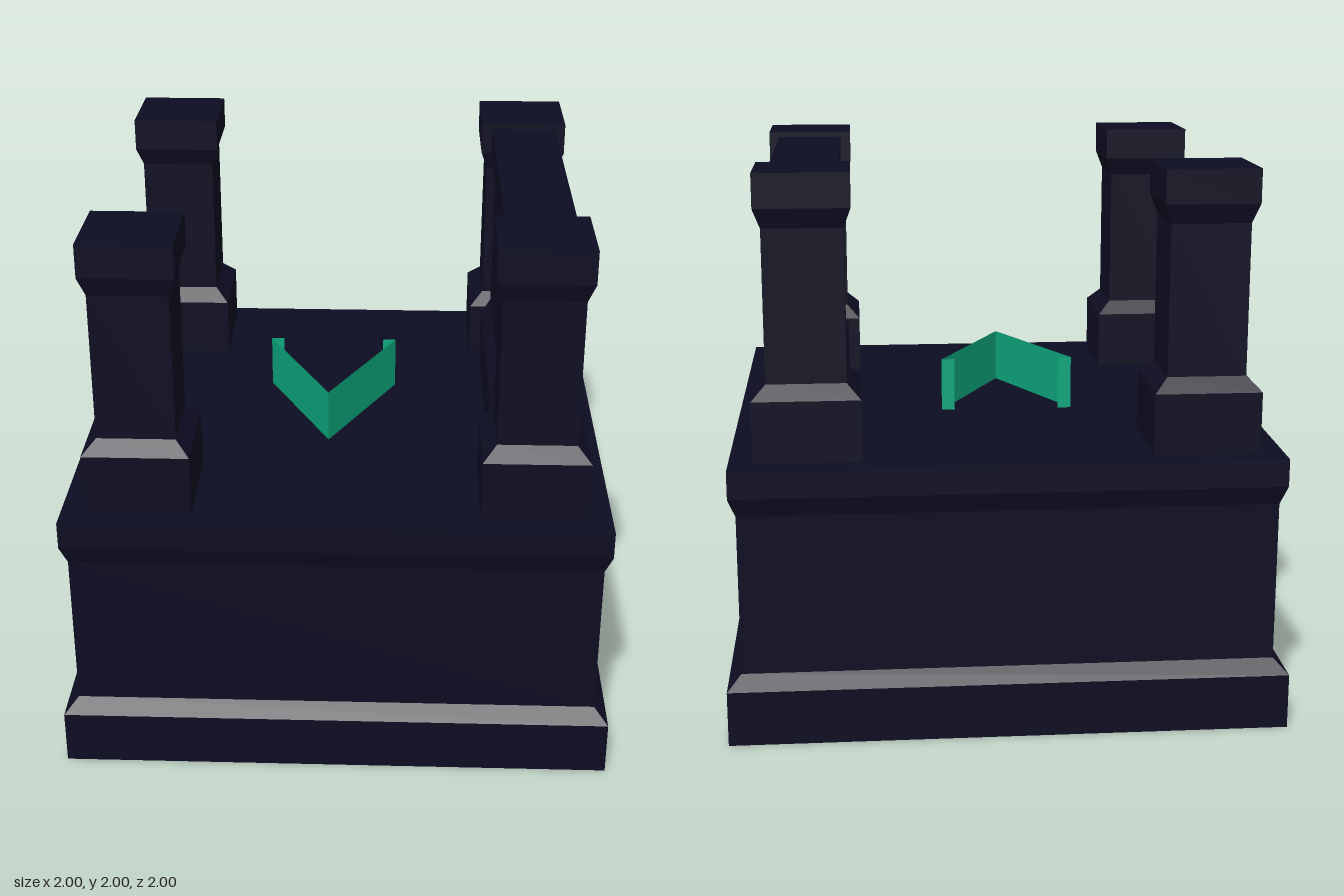
import * as THREE from 'three';

const stone = new THREE.MeshStandardMaterial({ color: 0x0d0d22 });
stone.name = 'dark navy stone';
const green = new THREE.MeshStandardMaterial({ color: 0x0ca67c, side: THREE.DoubleSide });
green.name = 'emerald green';

// Half-width / height steps, bottom to top
const baseProfile = [[1, 0], [1, 0.2], [0.95, 0.25], [0.95, 0.83], [0.975, 0.9], [0.975, 1]];
const pillarProfile = [[0.19, 1], [0.19, 1.22], [0.14, 1.27], [0.14, 1.81], [0.165, 1.88], [0.165, 2]];
const wallProfile = [[0.145, 1], [0.145, 1.2], [0.105, 1.245], [0.105, 1.79], [0.125, 1.86], [0.125, 1.98]];

// Square moulded block: a four-sided, flat-shaded lathe closed at both ends
function squareBlock(name, profile) {
  const closed = [[0, profile[0][1]], ...profile, [0, profile[profile.length - 1][1]]];
  const points = closed.map(([r, y]) => new THREE.Vector2(r * Math.SQRT2, y));
  const geometry = new THREE.LatheGeometry(points, 4, Math.PI / 4).toNonIndexed();
  geometry.computeVertexNormals();
  const mesh = new THREE.Mesh(geometry, stone);
  mesh.name = name;
  return mesh;
}

// Moulded wall: mirrored profile extruded along z
function mouldedWall(name, profile, length) {
  const outline = [...profile, ...profile.map(([x, y]) => [-x, y]).reverse()];
  const shape = new THREE.Shape(outline.map(([x, y]) => new THREE.Vector2(x, y)));
  const geometry = new THREE.ExtrudeGeometry(shape, { depth: length, bevelEnabled: false });
  geometry.translate(0, 0, -length / 2);
  const mesh = new THREE.Mesh(geometry, stone);
  mesh.name = name;
  return mesh;
}

// Thin upright panel between two floor points
function panel(name, [x1, z1], [x2, z2]) {
  const geometry = new THREE.PlaneGeometry(Math.hypot(x2 - x1, z2 - z1), 0.2);
  const mesh = new THREE.Mesh(geometry, green);
  mesh.position.set((x1 + x2) / 2, 1.1, (z1 + z2) / 2);
  mesh.rotation.y = -Math.atan2(z2 - z1, x2 - x1);
  mesh.name = name;
  return mesh;
}

export function createModel() {
  const model = new THREE.Group();
  model.name = 'pillaredPlatform';
  model.add(squareBlock('base', baseProfile));

  // Corner pillars
  for (const x of [-0.7, 0.7]) {
    for (const z of [-0.7, 0.7]) {
      const pillar = squareBlock(`${z > 0 ? 'front' : 'back'}${x > 0 ? 'Left' : 'Right'}Pillar`, pillarProfile);
      pillar.position.set(x, 0, z);
      model.add(pillar);
    }
  }

  // Side wall between the left pillars
  const wall = mouldedWall('sideWall', wallProfile, 1.2);
  wall.position.x = 0.7;
  model.add(wall);

  // Direction marker: two panels meeting at the front, with short returns
  const marker = new THREE.Group();
  marker.name = 'directionMarker';
  for (const s of [-1, 1]) {
    const side = s > 0 ? 'left' : 'right';
    const end = [-0.05 + s * 0.25, -0.2];
    marker.add(panel(`${side}MarkerPanel`, [-0.05, 0.3], end));
    marker.add(panel(`${side}MarkerReturn`, end, [end[0] - s * 0.05, -0.2]));
  }
  model.add(marker);
  return model;
}
